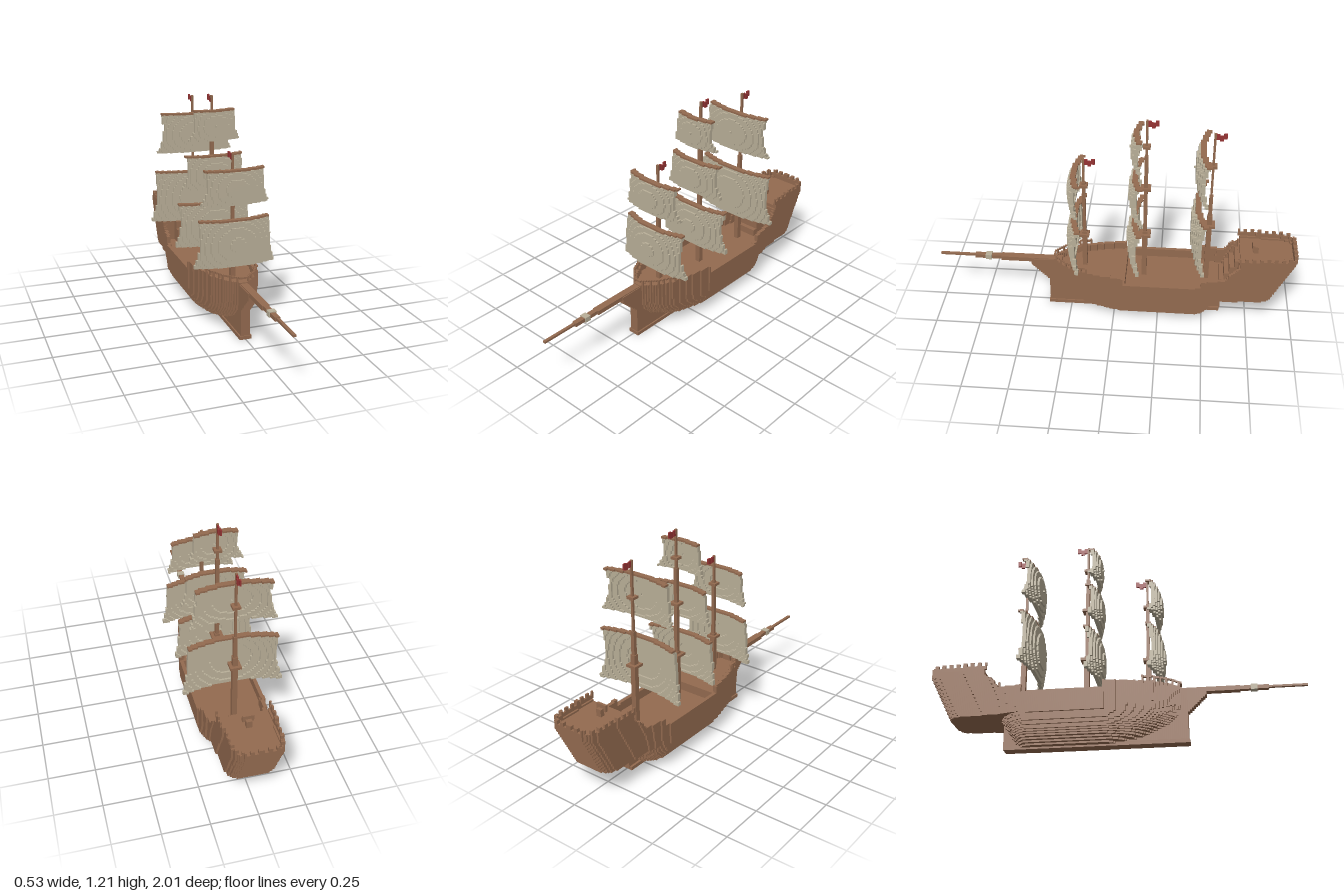
import * as THREE from 'three';

const V = 0.01; // block size
const wood = new THREE.MeshStandardMaterial({ color: 0x936a4f, name: 'wood' });
const canvas = new THREE.MeshStandardMaterial({ color: 0xb9af98, name: 'canvas' });
const red = new THREE.MeshStandardMaterial({ color: 0x963434, name: 'flagRed' });

const clamp = (t) => Math.min(1, Math.max(0, t));

// Piecewise linear lookup over [key, value] pairs with rising keys
function lerp(table, t) {
  if (t <= table[0][0]) return table[0][1];
  for (let i = 1; i < table.length; i++) {
    const [a, p] = table[i - 1], [b, q] = table[i];
    if (t <= b) return p + (q - p) * (t - a) / (b - a);
  }
  return table[table.length - 1][1];
}

// Block surface of every cell whose centre satisfies fn(x, y, z)
function blocks(name, material, lo, hi, fn) {
  const off = [-0.5, 0, -0.5]; // x and z cells centred on multiples of V
  const start = lo.map((c) => Math.floor(c / V) - 1);
  const n = hi.map((c, a) => Math.ceil(c / V) + 2 - start[a]);
  const at = (p) => (p[2] * n[1] + p[1]) * n[0] + p[0];
  const grid = new Uint8Array(n[0] * n[1] * n[2]);
  const p = [0, 0, 0];
  for (p[2] = 1; p[2] < n[2] - 1; p[2]++)
    for (p[1] = 1; p[1] < n[1] - 1; p[1]++)
      for (p[0] = 1; p[0] < n[0] - 1; p[0]++) {
        const c = p.map((i, a) => (start[a] + i + off[a] + 0.5) * V);
        grid[at(p)] = fn(c[0], c[1], c[2]) ? 1 : 0;
      }
  const pos = [], nor = [], idx = [];
  for (let d = 0; d < 3; d++) {
    const u = (d + 1) % 3, v = (d + 2) % 3;
    for (const s of [1, -1]) {
      const open = (q) => {
        if (!grid[at(q)]) return false;
        const r = q.slice();
        r[d] += s;
        return !grid[at(r)];
      };
      const q = [0, 0, 0];
      for (q[d] = 1; q[d] < n[d] - 1; q[d]++)
        for (q[v] = 1; q[v] < n[v] - 1; q[v]++)
          for (q[u] = 1; q[u] < n[u] - 1; q[u]++) {
            if (!open(q)) continue;
            const from = q[u];
            while (open(q)) q[u]++;
            const base = pos.length / 3;
            for (const [cu, cv] of [[from, 0], [q[u], 0], [q[u], 1], [from, 1]]) {
              const c = [0, 0, 0];
              c[d] = q[d] + (s > 0 ? 1 : 0);
              c[u] = cu;
              c[v] = q[v] + cv;
              c.forEach((i, a) => pos.push((start[a] + i + off[a]) * V));
              for (let a = 0; a < 3; a++) nor.push(a === d ? s : 0);
            }
            const o = s > 0 ? [0, 1, 2, 0, 2, 3] : [0, 2, 1, 0, 3, 2];
            o.forEach((i) => idx.push(base + i));
          }
    }
  }
  const g = new THREE.BufferGeometry();
  g.setAttribute('position', new THREE.Float32BufferAttribute(pos, 3));
  g.setAttribute('normal', new THREE.Float32BufferAttribute(nor, 3));
  g.setIndex(idx);
  const m = new THREE.Mesh(g, material);
  m.name = name;
  return m;
}

function box(name, material, x0, x1, y0, y1, z0, z1) {
  const m = new THREE.Mesh(new THREE.BoxGeometry(x1 - x0, y1 - y0, z1 - z0), material);
  m.position.set((x0 + x1) / 2, (y0 + y1) / 2, (z0 + z1) / 2);
  m.name = name;
  return m;
}

// Deck plan half width along z, bulwark top, deck level and stem front edge
const plan = [[-1, 0.085], [-0.985, 0.115], [-0.95, 0.13], [-0.7, 0.148], [-0.6, 0.162], [-0.45, 0.18],
  [-0.05, 0.18], [0.05, 0.165], [0.2, 0.13], [0.27, 0.092], [0.31, 0.05], [0.34, 0.025]];
const bulwark = [[-0.7, 0.42], [-0.69, 0.385], [-0.66, 0.37], [-0.61, 0.31], [-0.485, 0.31],
  [-0.48, 0.27], [-0.055, 0.27], [-0.05, 0.31]];
const deck = (z) => (z > -0.07 ? 0.27 : z > -0.69 ? 0.22 : 0.41);
const stemEdge = [[0.17, 0.38], [0.19, 0.397], [0.24, 0.455], [0.275, 0.48]];

// Half width of the hull skin, negative outside
function halfWidth(y, z) {
  let w = 1, zp = z;
  if (y < 0.155) w = Math.sqrt(Math.max(0, 1 - ((0.155 - y) / 0.15) ** 2));
  if (z > -0.05) {
    const r = clamp((0.2 - y) / 0.19);
    const end = 0.39 * Math.pow(1 - r * r, 0.6);
    if (z + 0.05 > end) return -1;
    zp = -0.05 + (z + 0.05) * 0.39 / end;
  } else if (y < 0.165) {
    const reach = 0.05 + 0.11 * clamp(y / 0.165);
    const t = (-0.46 - z) / reach;
    if (t >= 1) return -1;
    if (t > 0) w *= Math.sqrt(1 - t * t);
  } else if (z < -0.48) {
    zp = z - 0.12 * clamp((0.4 - y) / 0.235) * clamp((-0.48 - z) / 0.14);
    if (zp < -1) return -1;
  }
  return w * lerp(plan, zp);
}
const inside = (x, y, z) => Math.abs(x) <= halfWidth(y, z);
const rim = (x, y, z, t) => inside(x, y, z) &&
  !(inside(x + t, y, z) && inside(x - t, y, z) && inside(x, y, z + t) && inside(x, y, z - t));

// Square sail bellied forward, with a matching yard on its top edge
function sail(name, zFront, y0, y1, width, belly, sweep) {
  const g = new THREE.Group();
  g.name = name;
  const shape = (thick) => (x, y, z) => {
    const v = (y1 - y) / (y1 - y0);
    const w = width + 0.025 * v * v - 0.012 * Math.sin(Math.PI * v);
    const front = zFront - belly * (2 * v - 1) ** 2 - sweep * (x / w) ** 2;
    return Math.abs(x) <= w && z <= front && z > front - thick;
  };
  const r = width + 0.04, zb = zFront - 0.14;
  g.add(blocks('cloth', canvas, [-r, y0, zb], [r, y1 - 0.01, zFront],
    (x, y, z) => y > y0 && y < y1 - 0.01 && shape(0.02)(x, y, z)));
  g.add(blocks('yard', wood, [-r, y1 - 0.01, zb], [r, y1, zFront],
    (x, y, z) => y > y1 - 0.01 && y < y1 && shape(0.03)(x, y, z)));
  return g;
}

// Mast: [half width, top] sections, [height, half size] platforms, flag on top
function mast(name, z, base, sections, platforms) {
  const g = new THREE.Group();
  g.name = name;
  let y = base;
  for (const [r, top] of sections) {
    g.add(box('pole', wood, -r, r, y, top, z - r, z + r));
    y = top;
  }
  for (const [h, r] of platforms) g.add(box('platform', wood, -r, r, h - 0.007, h + 0.007, z - r, z + r));
  for (let i = 0; i < 3; i++) {
    const dy = [0, -0.006, 0.002][i], dx = [0, 0.004, -0.002][i];
    g.add(box('flag', red, dx - 0.004, dx + 0.004, y - 0.035 + dy, y - 0.004 + dy,
      z - 0.005 - 0.019 * (i + 1), z - 0.005 - 0.019 * i));
  }
  return g;
}

export function createModel() {
  const ship = new THREE.Group();
  ship.name = 'sailingShip';

  // Hull with recessed decks inside the bulwarks
  ship.add(blocks('hull', wood, [-0.2, 0, -1.01], [0.2, 0.43, 0.36], (x, y, z) =>
    y < lerp(bulwark, z) && inside(x, y, z) && (y < deck(z) || rim(x, y, z, 0.02))));
  ship.add(blocks('stem', wood, [-0.03, 0, 0], [0.03, 0.3, 0.49], (x, y, z) =>
    Math.abs(x) < 0.022 && y < 0.3 && z > 0 && z < lerp(stemEdge, y) && (y < 0.27 || z > 0.3)));
  ship.add(box('keel', wood, -0.033, 0.033, 0, 0.02, -0.6, 0.38));
  ship.add(box('sternPost', wood, -0.02, 0.02, 0.01, 0.17, -0.605, -0.45));

  // Rails of posts along the hull edge
  ship.add(blocks('foreRail', wood, [-0.2, 0.3, 0.14], [0.2, 0.34, 0.36], (x, y, z) =>
    z > 0.14 && y > 0.3 && y < 0.34 && rim(x, 0.3, z, 0.01) &&
    (y > 0.33 || Math.abs(Math.round(z / V)) % 3 === 0)));
  ship.add(blocks('sternRail', wood, [-0.2, 0.42, -1.01], [0.2, 0.46, -0.69], (x, y, z) =>
    z < -0.69 && y > 0.42 && y < 0.46 && rim(x, 0.42, z, 0.012) &&
    (y < 0.44 || (z < -0.985 ? Math.abs(Math.round(x / V)) % 4 < 2 : Math.abs(Math.round(z / V)) % 4 < 2))));

  // Stairs to the stern deck and the helm
  for (let i = 0; i < 4; i++)
    ship.add(box('stair', wood, -0.07, 0.07, 0.2, 0.26 + 0.043 * i, -0.7, -0.585 - 0.027 * i));
  ship.add(box('helmStand', wood, -0.015, 0.015, 0.4, 0.45, -0.795, -0.77));
  ship.add(box('helm', wood, -0.03, 0.03, 0.435, 0.47, -0.775, -0.76));

  // Bowsprit
  ship.add(box('bowsprit', wood, -0.02, 0.02, 0.28, 0.305, 0.3, 0.65));
  ship.add(box('bowsprit', wood, -0.014, 0.014, 0.284, 0.305, 0.65, 0.8));
  ship.add(box('bowspritTip', wood, -0.008, 0.008, 0.291, 0.302, 0.8, 1));
  ship.add(box('bowspritBand', canvas, -0.02, 0.02, 0.28, 0.309, 0.705, 0.74));

  // Masts
  ship.add(mast('foreMast', 0.17, 0.26, [[0.013, 0.5], [0.009, 0.82], [0.006, 0.965]], [[0.48, 0.026], [0.8, 0.022]]));
  ship.add(mast('mainMast', -0.165, 0.21, [[0.014, 0.52], [0.01, 1], [0.006, 1.21]], [[0.5, 0.032], [0.8, 0.027], [1.055, 0.02]]));
  ship.add(mast('mizzenMast', -0.515, 0.21, [[0.014, 0.64], [0.01, 0.77], [0.006, 1.15]], [[0.58, 0.03], [0.955, 0.021]]));

  // Sails
  ship.add(sail('foreLowerSail', 0.262, 0.36, 0.62, 0.2, 0.025, 0.04));
  ship.add(sail('foreUpperSail', 0.255, 0.7, 0.89, 0.162, 0.02, 0.03));
  ship.add(sail('mainLowerSail', -0.068, 0.37, 0.62, 0.205, 0.025, 0.04));
  ship.add(sail('mainMiddleSail', -0.073, 0.7, 0.89, 0.162, 0.02, 0.03));
  ship.add(sail('mainUpperSail', -0.08, 0.97, 1.14, 0.118, 0.02, 0.025));
  ship.add(sail('mizzenLowerSail', -0.41, 0.42, 0.72, 0.24, 0.025, 0.045));
  ship.add(sail('mizzenUpperSail', -0.42, 0.83, 1.06, 0.197, 0.025, 0.035));
  return ship;
}
